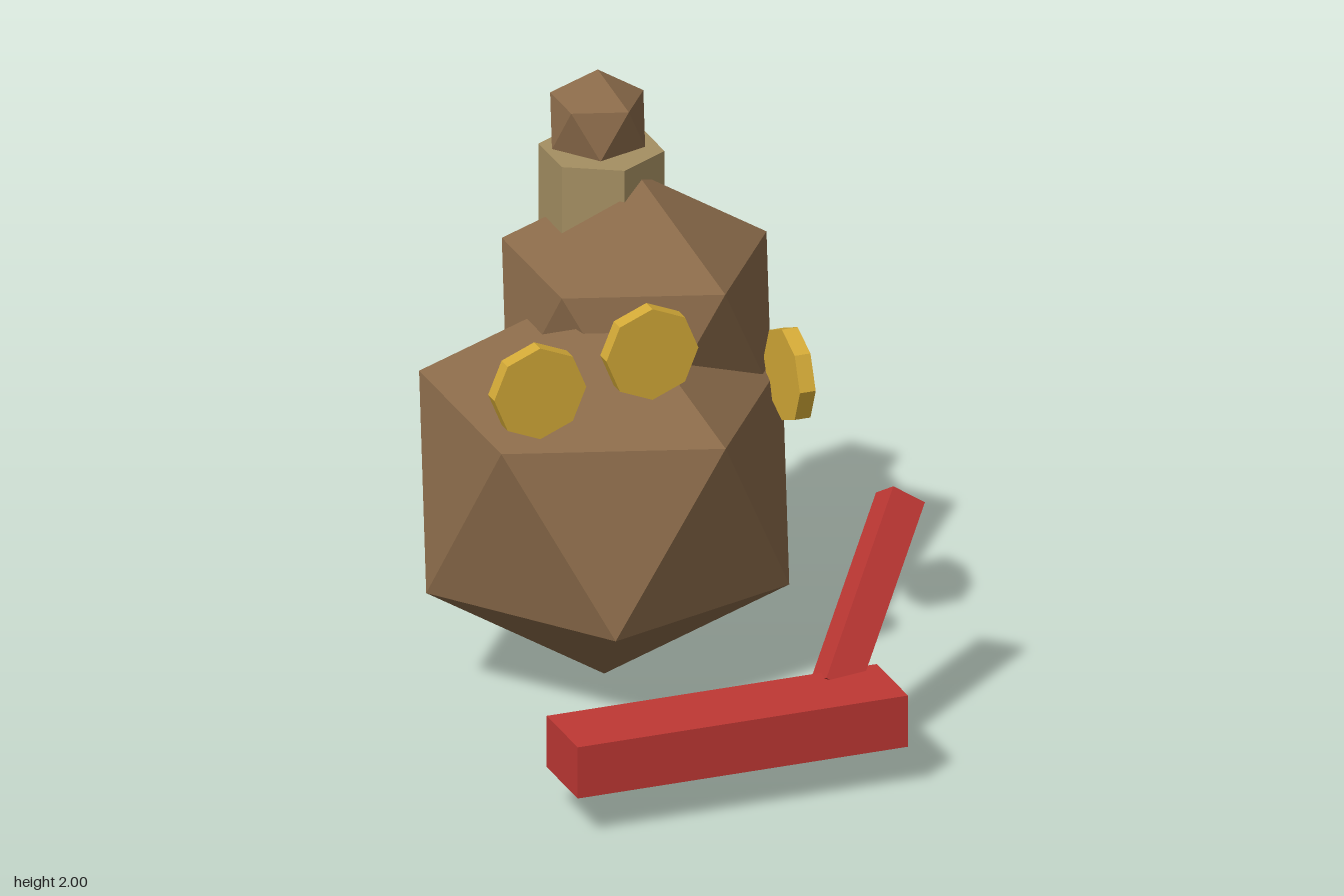
import * as THREE from 'three';

const mat = (color) => new THREE.MeshStandardMaterial({ color, flatShading: true });

export function createModel() {
  const model = new THREE.Group();
  const brown = mat(0x8b6b4a), tan = mat(0xa58f62), gold = mat(0xd4aa37), red = mat(0xbf3834);

  const add = (name, geometry, material, x, y, z) => {
    const mesh = new THREE.Mesh(geometry, material);
    mesh.name = name;
    mesh.position.set(x, y, z);
    model.add(mesh);
    return mesh;
  };

  // Icosahedron standing on one corner, with an upper-ring corner towards +x
  const tilt = -Math.atan(2 / (1 + Math.sqrt(5)));
  const rock = (radius) => new THREE.IcosahedronGeometry(radius, 0).rotateZ(tilt);

  // Stacked body
  add('lowerBody', rock(0.705), brown, -0.12, 0.705, -0.31);
  add('upperBody', rock(0.514), brown, 0.07, 1.18, -0.5);
  add('neck', new THREE.CylinderGeometry(0.21, 0.21, 0.32, 6), tan, 0, 1.58, -0.64);
  add('head', rock(0.181), brown, 0.005, 1.819, -0.687);

  // Eight-sided coins: two face the front, one faces the side
  const coin = () => new THREE.CylinderGeometry(0.163, 0.163, 0.056, 8);
  add('outerCoin', coin().rotateX(Math.PI / 2), gold, -0.542, 1.275, 0.16);
  add('upperCoin', coin().rotateX(Math.PI / 2), gold, -0.237, 1.463, 0.395);
  add('sideCoin', coin().rotateZ(Math.PI / 2), gold, 0.444, 1.085, -0.072);

  // Level bar and the slanted bar rising from its left end
  add('levelBar', new THREE.BoxGeometry(1.17, 0.184, 0.28), red, -0.118, 0.24, 0.795);
  const slant = add('slantedBar', new THREE.BoxGeometry(0.125, 0.71, 0.125), red, 0.494, 0.518, 0.497);
  slant.quaternion.setFromUnitVectors(
    new THREE.Vector3(0, 1, 0),
    new THREE.Vector3(0.53, 0.683, -0.5).normalize()
  );

  return model;
}
